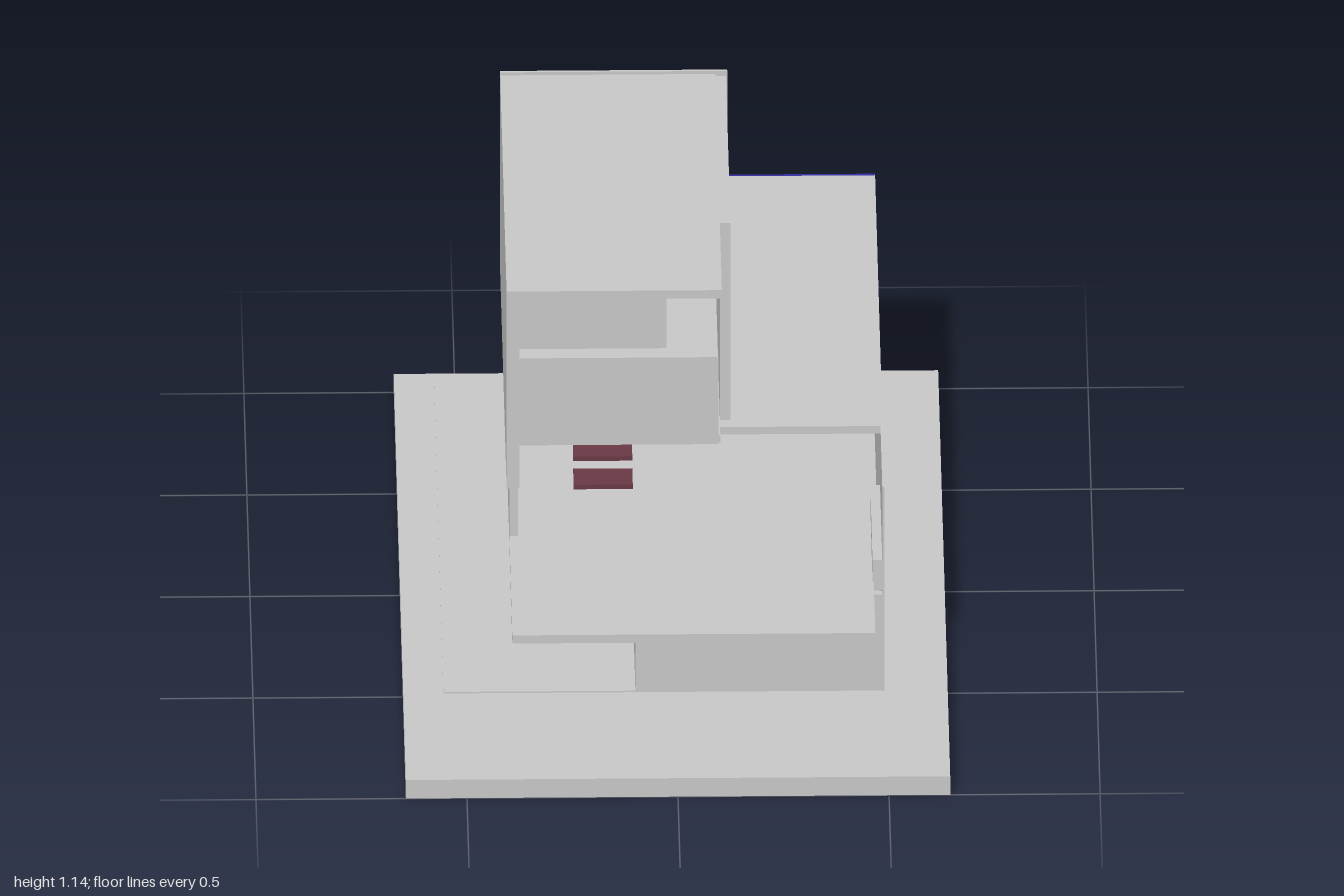
import * as THREE from 'three';

const grey = new THREE.MeshStandardMaterial({ color: 0xcccccc });
const blue = new THREE.MeshStandardMaterial({ color: 0x332fa3 });
const wood = new THREE.MeshStandardMaterial({ color: 0x6b3a45 });

// Box given by its minimum and maximum on each axis
function block(parent, name, [x0, x1], [y0, y1], [z0, z1], material = grey) {
  const mesh = new THREE.Mesh(new THREE.BoxGeometry(x1 - x0, y1 - y0, z1 - z0), material);
  mesh.position.set((x0 + x1) / 2, (y0 + y1) / 2, (z0 + z1) / 2);
  mesh.name = name;
  parent.add(mesh);
}

// Open flight of treads climbing towards the back
function stairs(parent, name, x, y0, rise, count, z0, run) {
  const flight = new THREE.Group();
  flight.name = name;
  for (let i = 0; i < count; i++) {
    const y = y0 + i * rise, z = z0 - i * run;
    block(flight, 'tread', x, [y - 0.012, y], [z - run, z], wood);
  }
  parent.add(flight);
}

// Side wall with a doorway, extruded along x
function doorWall(parent) {
  const s = new THREE.Shape();
  [[-0.96, 0.05], [-0.775, 0.05], [-0.775, 0.31], [-0.61, 0.31], [-0.61, 0.05],
    [0.575, 0.05], [0.575, 0.315], [-0.5, 0.315], [-0.5, 0.58], [-0.96, 0.58]]
    .forEach(([z, y], i) => (i ? s.lineTo(-z, y) : s.moveTo(-z, y)));
  const mesh = new THREE.Mesh(new THREE.ExtrudeGeometry(s, { depth: 0.025, bevelEnabled: false }), grey);
  mesh.rotation.y = Math.PI / 2;
  mesh.position.x = -0.095;
  mesh.name = 'doorWall';
  parent.add(mesh);
}

export function createModel() {
  const model = new THREE.Group();
  model.name = 'house';

  // Site
  block(model, 'basePlate', [-0.645, 0.645], [0, 0.05], [-1, 1]);
  block(model, 'patio', [-0.55, 0.49], [0.05, 0.054], [-0.96, 0.575]);

  // Main volume
  const main = new THREE.Group();
  main.name = 'mainVolume';
  model.add(main);
  doorWall(main);
  block(main, 'rightWall', [0.49, 0.495], [0.05, 0.6], [-0.96, 0.575]);
  block(main, 'frontWall', [-0.095, 0.49], [0.05, 0.31], [0.56, 0.575]);
  block(main, 'backPanel', [-0.095, 0.495], [0.05, 0.6], [-0.968, -0.96], blue);
  block(main, 'rearRoof', [-0.095, 0.49], [0.58, 0.6], [-0.96, -0.5]);
  block(main, 'sideRoof', [0.11, 0.49], [0.58, 0.6], [-0.5, 0.275]);
  stairs(main, 'lowerStairs', [0.28, 0.47], 0.09, 0.037, 7, 0.3, 0.08);

  // Middle floor with canopy, side bay and terrace parapet
  const middle = new THREE.Group();
  middle.name = 'middleFloor';
  model.add(middle);
  block(middle, 'canopySlab', [-0.39, 0.47], [0.318, 0.34], [-0.5, 0.82]);
  block(middle, 'parapet', [0.467, 0.49], [0.318, 0.4], [0.2, 0.57]);
  block(middle, 'bayLeftWall', [-0.39, -0.37], [0.34, 0.6], [-0.495, 0.33]);
  block(middle, 'bayBackWall', [-0.37, -0.095], [0.34, 0.58], [-0.495, -0.475]);
  stairs(middle, 'upperStairs', [-0.235, -0.095], 0.378, 0.0325, 7, 0.15, 0.08);

  // Upper storey
  const upper = new THREE.Group();
  upper.name = 'upperStorey';
  model.add(upper);
  block(upper, 'upperFloor', [-0.37, 0.11], [0.58, 0.6], [-0.5, 0.315]);
  block(upper, 'upperLeftWall', [-0.4, -0.37], [0.6, 1.11], [-0.48, 0.57]);
  block(upper, 'upperRightWall', [0.11, 0.135], [0.6, 1.132], [-0.485, 0.24]);
  block(upper, 'upperBackWall', [-0.4, 0.11], [0.6, 1.11], [-0.5, -0.48]);
  block(upper, 'backTrim', [-0.4, 0.138], [0.6, 1.14], [-0.502, -0.495]);
  block(upper, 'upperRoof', [-0.4, 0.11], [1.11, 1.132], [-0.495, 0.57]);
  block(upper, 'balconyPanel', [-0.37, 0.105], [0.58, 0.815], [0.315, 0.322]);
  block(upper, 'windowPanel', [-0.37, -0.018], [0.845, 1.11], [0.315, 0.331]);

  return model;
}
